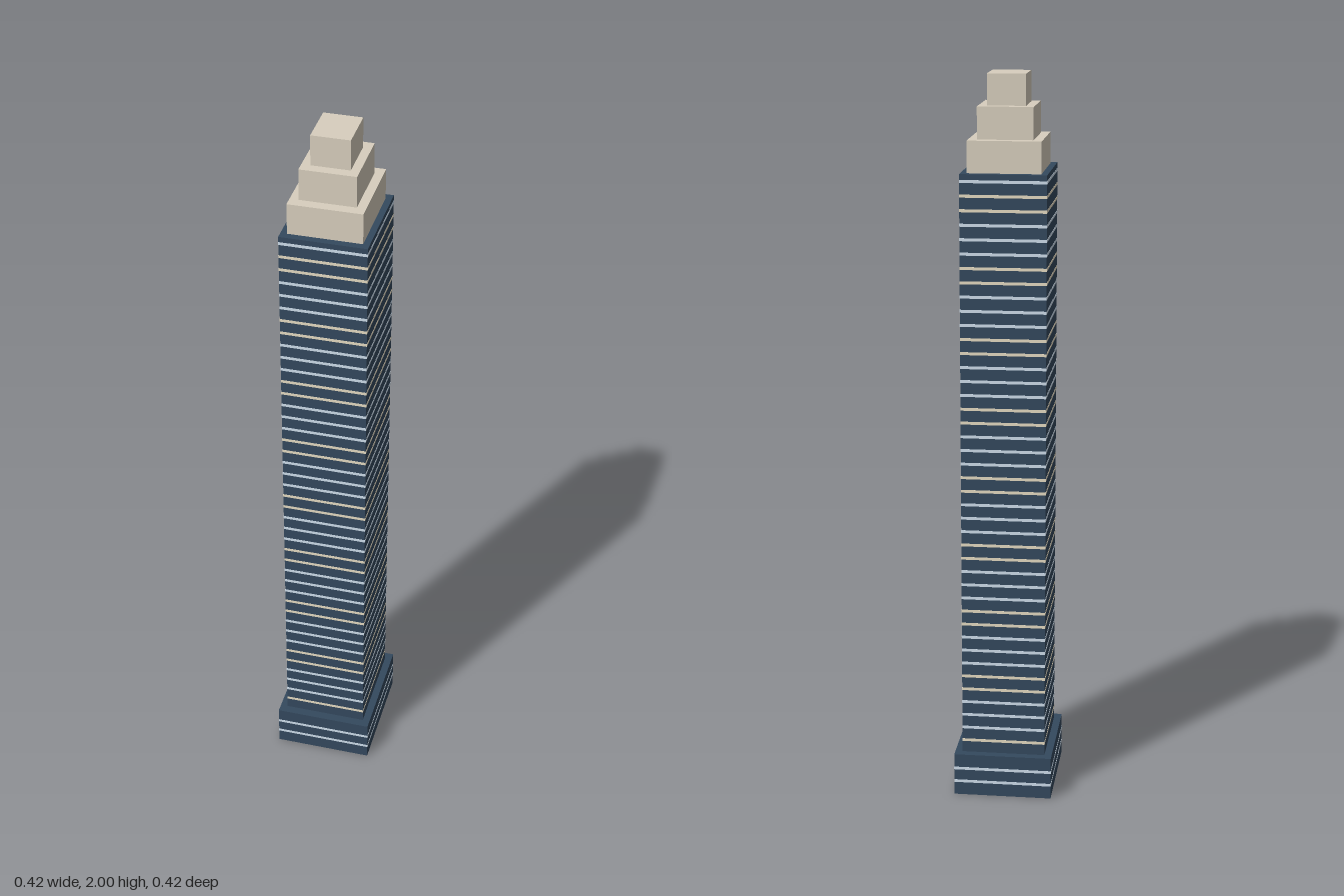
import * as THREE from 'three';

const WIDTH = 0.272, DEPTH = 0.324; // footprint of the base

export function createModel() {
  const model = new THREE.Group();
  const mat = (color) => new THREE.MeshStandardMaterial({ color });
  const glass = mat(0x34495e), stone = mat(0xd8cfbe);
  const lights = [mat(0xe6dcc3), mat(0xcfdeec)];

  // The whole tower stands diagonally on its plot
  const tower = new THREE.Group();
  tower.name = 'tower';
  tower.rotation.y = -Math.atan2(0.175, 0.208);
  model.add(tower);

  // A block of the footprint, scaled, between two heights
  function block(name, scale, y0, y1, material, grow = 0) {
    const geometry = new THREE.BoxGeometry(WIDTH * scale + grow, y1 - y0, DEPTH * scale + grow);
    const mesh = new THREE.Mesh(geometry, material);
    mesh.name = name;
    mesh.position.y = (y0 + y1) / 2;
    tower.add(mesh);
  }

  // Base and shaft
  block('base', 1, 0, 0.12, glass);
  block('shaft', 0.85, 0.12, 1.746, glass);

  // Stepped crown
  block('crownLower', 0.725, 1.746, 1.831, stone);
  block('crownMiddle', 0.55, 1.831, 1.917, stone);
  block('crownTop', 0.38, 1.917, 2, stone);

  // Thin lit strip on every floor, warm or cool
  for (let floor = 1; floor <= 45; floor++) {
    if (floor === 3) continue; // roof line of the base
    const y = 0.002 + floor * 0.03833;
    const tone = lights[(floor * floor + floor * 3 + 1) % 5 < 2 ? 1 : 0];
    block('windowStrip' + floor, floor < 3 ? 1 : 0.85, y - 0.004, y + 0.004, tone, 0.001);
  }
  return model;
}
